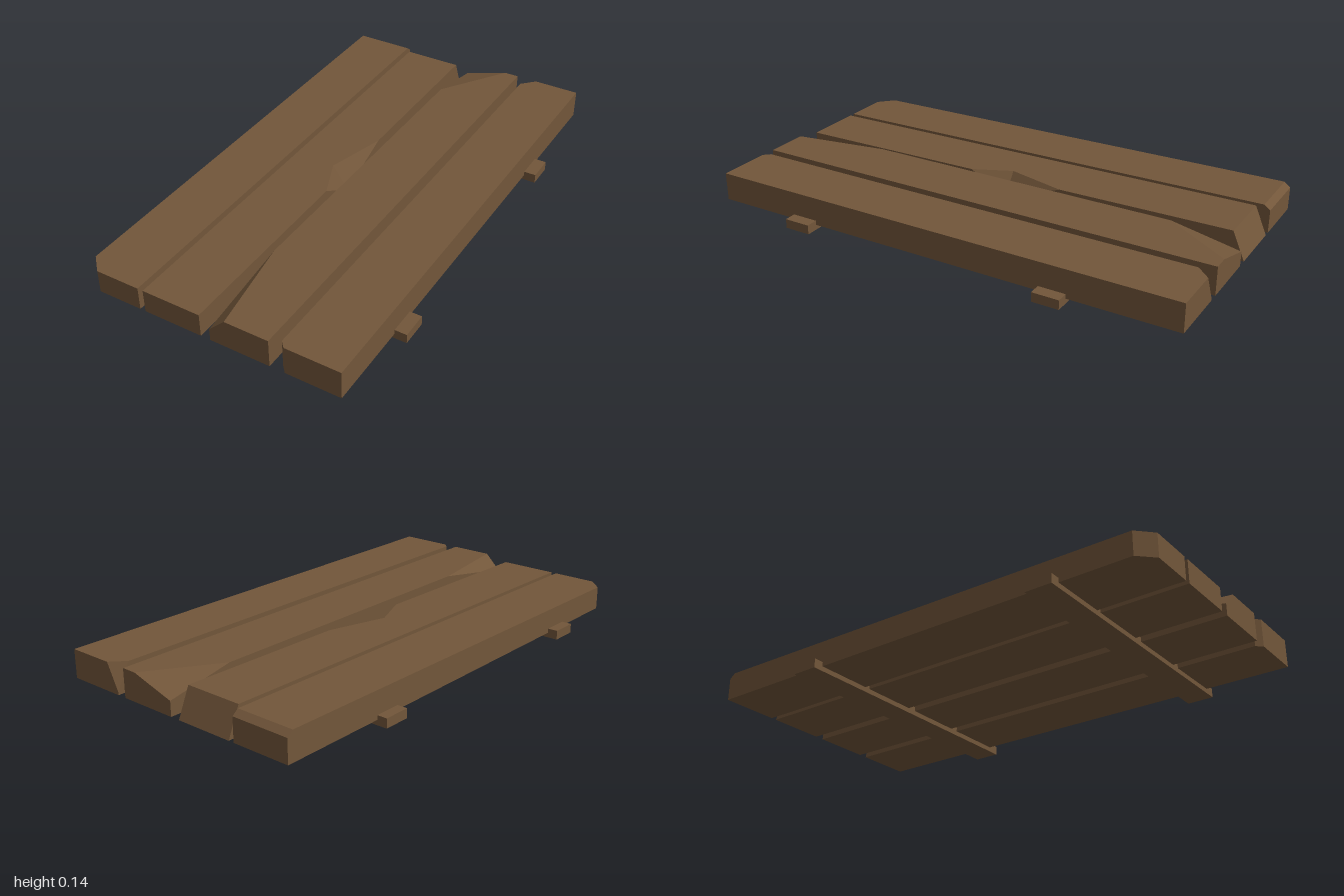
import * as THREE from 'three';
import { ConvexGeometry } from 'three/addons/geometries/ConvexGeometry.js';
import { mergeGeometries, mergeVertices } from 'three/addons/utils/BufferGeometryUtils.js';

const BOTTOM = 0.02, TOP = 0.135;
const wood = new THREE.MeshStandardMaterial({ color: 0x72563a });
wood.name = 'brownWood';

const hull = (points) => new ConvexGeometry(points.map((p) => new THREE.Vector3(...p)));
// A vertical edge of a plank, from its underside to height y
const post = (x, z, y = TOP) => [[x, BOTTOM, z], [x, y, z]];
// Top of the two planks that thin slightly towards the front
const slope = (z) => 0.125 - 0.01 * z;

// Joins two hulls that share a cut at z = seam, without the inner faces
function joinAt(seam, hulls) {
  const open = hulls.map((geometry) => {
    const p = geometry.attributes.position;
    const kept = [];
    for (let i = 0; i < p.count; i += 3) {
      if ([0, 1, 2].every((k) => Math.abs(p.getZ(i + k) - seam) < 1e-5)) continue;
      for (let k = 0; k < 3; k++) kept.push(p.getX(i + k), p.getY(i + k), p.getZ(i + k));
    }
    const out = new THREE.BufferGeometry();
    out.setAttribute('position', new THREE.Float32BufferAttribute(kept, 3));
    return out;
  });
  const joined = mergeVertices(mergeGeometries(open)).toNonIndexed();
  joined.computeVertexNormals();
  return joined;
}

// Right outer plank: clipped front corner, small bevel on the back end
function rightOuterPlank() {
  const l = -0.545, r = -0.3;
  return hull([
    ...post(l, 0.94, slope(0.94)), ...post(l + 0.06, 1, slope(1)), ...post(r, 1, slope(1)),
    ...post(l, -1, 0.115), ...post(r, -1, 0.115),
    [l, slope(-0.975), -0.975], [r, slope(-0.975), -0.975],
  ]);
}

// Right inner plank: slanted back end, split-out notch halfway along one edge
function rightInnerPlank() {
  const l = -0.277, r = -0.032, seam = 0.02;
  const middle = [
    ...post(l, seam, slope(seam)), [r, BOTTOM, seam],
    [r, 0.03, seam], [-0.1, slope(seam), seam],
  ];
  const front = hull([
    ...middle, [r, slope(0.18), 0.18],
    ...post(l, 1, slope(1)), ...post(r, 1, slope(1)),
  ]);
  const back = hull([
    ...middle, [r, slope(-0.23), -0.23],
    [l, BOTTOM, -1], [r, BOTTOM, -1],
    [l, slope(-0.95), -0.95], [r, slope(-0.95), -0.95],
  ]);
  return joinAt(seam, [front, back]);
}

// Left inner plank: one edge split away at both ends
function leftInnerPlank() {
  const l = 0.008, r = 0.255;
  return hull([
    ...post(r, 1), ...post(r, -1),
    ...post(l, 1, 0.07), [l + 0.067, TOP, 1], [l, TOP, 0.6],
    ...post(l, -1, 0.08), [l + 0.185, TOP, -1], [l, TOP, -0.72],
  ]);
}

// Left outer plank: clipped front corner, chipped back corner
function leftOuterPlank() {
  const l = 0.293, r = 0.538;
  return hull([
    ...post(r, 1), ...post(r, -1),
    ...post(l + 0.023, 1), ...post(l, 0.975),
    ...post(l, -1, 0.03), [l + 0.052, TOP, -1], [l, TOP, -0.945],
  ]);
}

export function createModel() {
  const model = new THREE.Group();
  model.name = 'plankPanel';
  const add = (name, geometry) => {
    const mesh = new THREE.Mesh(geometry, wood);
    mesh.name = name;
    model.add(mesh);
    return mesh;
  };

  add('rightOuterPlank', rightOuterPlank());
  add('rightInnerPlank', rightInnerPlank());
  add('leftInnerPlank', leftInnerPlank());
  add('leftOuterPlank', leftOuterPlank());

  // Two cross rails underneath
  for (const [name, z] of [['frontRail', 0.595], ['backRail', -0.508]]) {
    add(name, new THREE.BoxGeometry(1.174, 0.038, 0.11)).position.set(0, 0.019, z);
  }
  return model;
}
